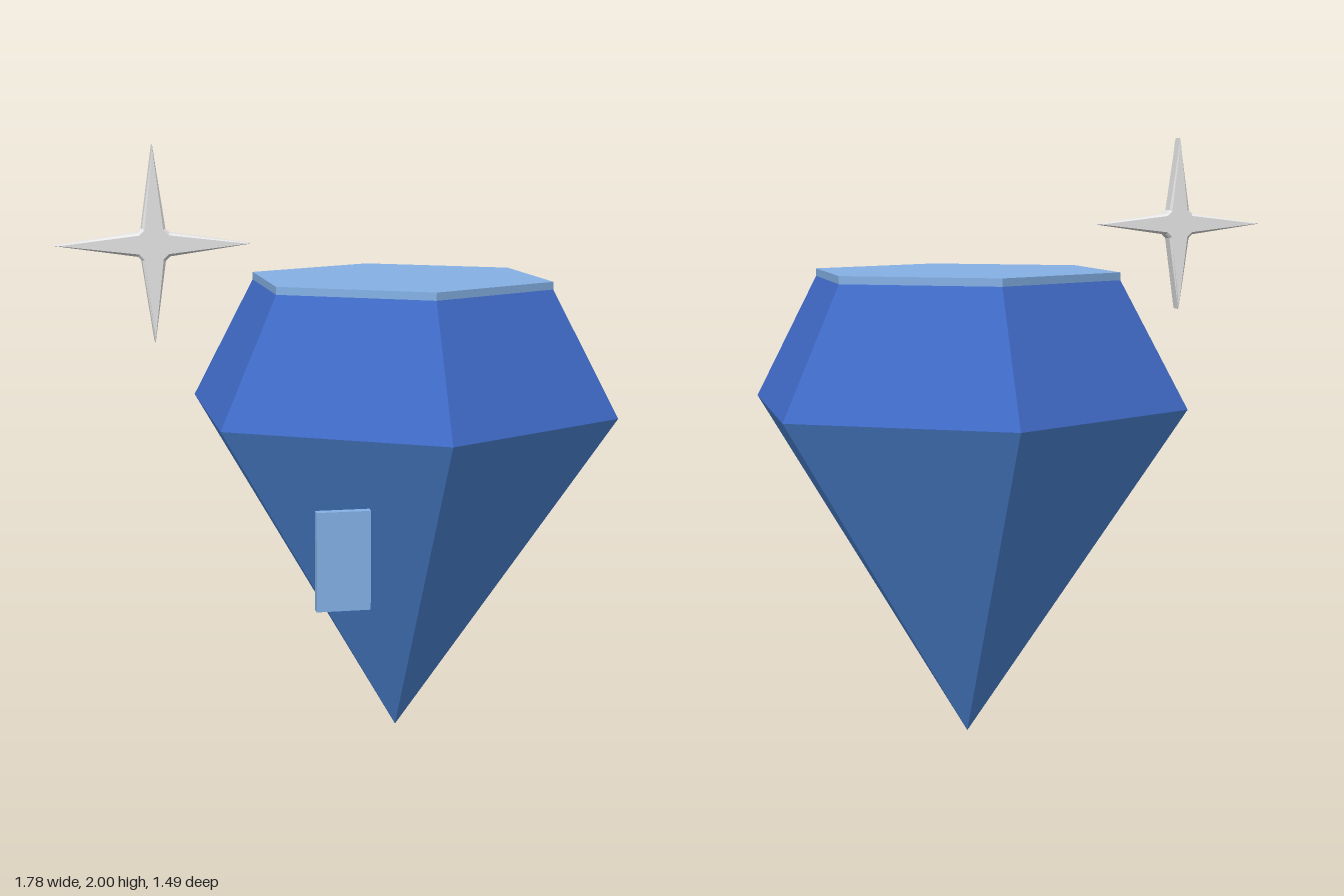
import * as THREE from 'three';

const material = (name, color) => {
  const m = new THREE.MeshStandardMaterial({ color });
  m.name = name;
  return m;
};

// Six-sided ring with corners on the z axis, faceted by flat normals
function facetRing(rTop, rBottom, yBottom, yTop, open) {
  const g = new THREE.CylinderGeometry(rTop, rBottom, yTop - yBottom, 6, 1, open).toNonIndexed();
  g.computeVertexNormals();
  g.translate(0, (yTop + yBottom) / 2, 0);
  return g;
}

// Four-pointed star with slim arms and slightly blunted inner corners
function sparkleGeometry() {
  const points = [];
  const arm = [[0.3, 0], [0.049, 0.036], [0.036, 0.049]];
  for (let i = 0; i < 4; i++) {
    for (const [x, y] of arm) {
      points.push(new THREE.Vector2(x, y).rotateAround(new THREE.Vector2(), i * Math.PI / 2));
    }
  }
  const g = new THREE.ExtrudeGeometry(new THREE.Shape(points), {
    depth: 0.046, bevelEnabled: true, bevelSegments: 1,
    bevelSize: 0.008, bevelThickness: 0.008, bevelOffset: -0.008,
  });
  g.translate(0, 0, -0.023);
  return g;
}

export function createModel() {
  const root = new THREE.Group();
  root.name = 'gemstone';

  const crownBlue = material('crown blue', 0x406bc8);
  const pavilionBlue = material('pavilion blue', 0x5a9af7);
  const paleBlue = material('pale blue', 0x93c3fd);
  const white = material('white', 0xffffff);

  const add = (parent, name, geometry, mat, x = 0, y = 0, z = 0) => {
    const mesh = new THREE.Mesh(geometry, mat);
    mesh.name = name;
    mesh.position.set(x, y, z);
    parent.add(mesh);
  };

  // Cut stone: pointed pavilion, sloping crown, flat table
  const gem = new THREE.Group();
  gem.name = 'gem';
  gem.position.x = 0.245;
  root.add(gem);
  add(gem, 'pavilion', facetRing(0.745, 0, 0, 1.125, true), pavilionBlue);
  add(gem, 'crown', facetRing(0.522, 0.745, 1.125, 1.535, true), crownBlue);
  add(gem, 'table', facetRing(0.522, 0.522, 1.535, 1.56, false), paleBlue);

  // Highlight plate by the front left facet
  add(root, 'highlightPlate', new THREE.BoxGeometry(0.17, 0.315, 0.03), paleBlue, -0.043, 0.737, 0.524);

  // Floating sparkle
  add(root, 'sparkle', sparkleGeometry(), white, -0.59, 1.7, 0.288);

  return root;
}
